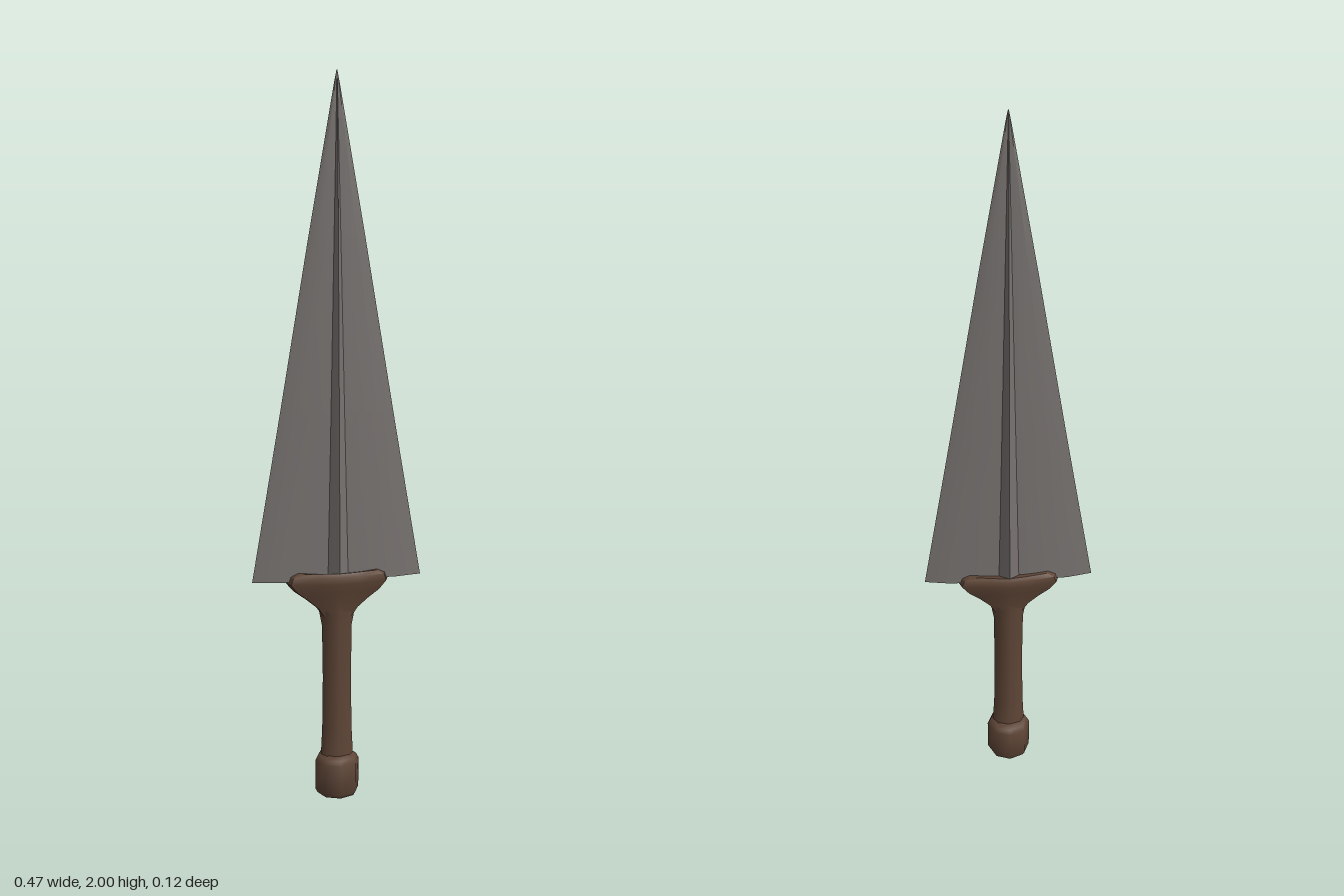
import * as THREE from 'three';
import { toCreasedNormals } from 'three/addons/utils/BufferGeometryUtils.js';

// Mirrors a quarter outline, running from (1,0) to (0,1), into a closed ring.
function mirrorOutline(quarter) {
  const half = [...quarter, ...quarter.slice(0, -1).reverse().map(([x, z]) => [-x, z])];
  return [...half, ...half.slice(1, -1).reverse().map(([x, z]) => [x, -z])];
}

// Lofts an outline through sections [y, half width, half depth]; caps both ends.
function loft(outline, sections, crease, dip = 0) {
  const n = outline.length;
  const position = [];
  const index = [];
  for (const [y, rx, rz] of sections) {
    for (const [x, z] of outline) position.push(x * rx, y, z * rz);
  }
  const last = sections.length - 1;
  const bottom = n * (last + 1);
  position.push(0, sections[0][0], 0, 0, sections[last][0] - dip, 0);
  for (let j = 0; j < n; j++) {
    const k = (j + 1) % n;
    for (let i = 0; i < last; i++) {
      const a = i * n + j, b = i * n + k;
      index.push(a, a + n, b, b, a + n, b + n);
    }
    index.push(bottom, j, k, bottom + 1, last * n + k, last * n + j);
  }
  const geometry = new THREE.BufferGeometry();
  geometry.setAttribute('position', new THREE.Float32BufferAttribute(position, 3));
  geometry.setIndex(index);
  return toCreasedNormals(geometry, crease);
}

export function createModel() {
  const group = new THREE.Group();
  const steel = new THREE.MeshStandardMaterial({ color: 0x777270 });
  steel.name = 'steel';
  const leather = new THREE.MeshStandardMaterial({ color: 0x5e4536 });
  leather.name = 'brown leather';

  const add = (name, geometry, material) => {
    const mesh = new THREE.Mesh(geometry, material);
    mesh.name = name;
    group.add(mesh);
  };

  const octagon = mirrorOutline([[1, 0], [Math.SQRT1_2, Math.SQRT1_2], [0, 1]]);
  const bladeOutline = mirrorOutline([[1, 0], [0.7, 0.32], [0.12, 0.38], [0, 1]]);
  const guardOutline = mirrorOutline([[1, 0], [0.93, 0.6], [0.4, 0.87], [0, 1]]);

  // Tapering blade with a raised central ridge
  add('blade', loft(bladeOutline, [
    [0.635, 0.236, 0.045], [1.1, 0.156, 0.034], [1.57, 0.077, 0.021],
    [1.85, 0.028, 0.013], [1.97, 0.007, 0.006], [2, 0.001, 0.001],
  ], 0.3), steel);

  // Flared guard with a slightly dished top
  add('guard', loft(guardOutline, [
    [0.53, 0.041, 0.031], [0.555, 0.058, 0.033], [0.58, 0.088, 0.036],
    [0.605, 0.122, 0.042], [0.63, 0.143, 0.048], [0.65, 0.136, 0.05],
    [0.66, 0.115, 0.043],
  ], 0.9, 0.012), leather);

  // Oval grip, thicker at its ends
  add('grip', loft(octagon, [
    [0.1, 0.047, 0.035], [0.2, 0.042, 0.031], [0.35, 0.04, 0.03],
    [0.5, 0.042, 0.032], [0.57, 0.055, 0.034],
  ], 0.9), leather);

  // Octagonal pommel with bevelled ends
  add('pommel', loft(octagon, [
    [0, 0.035, 0.035], [0.008, 0.055, 0.055], [0.02, 0.062, 0.062],
    [0.105, 0.062, 0.062], [0.118, 0.055, 0.055], [0.125, 0.042, 0.035],
  ], 0.9), leather);

  return group;
}
